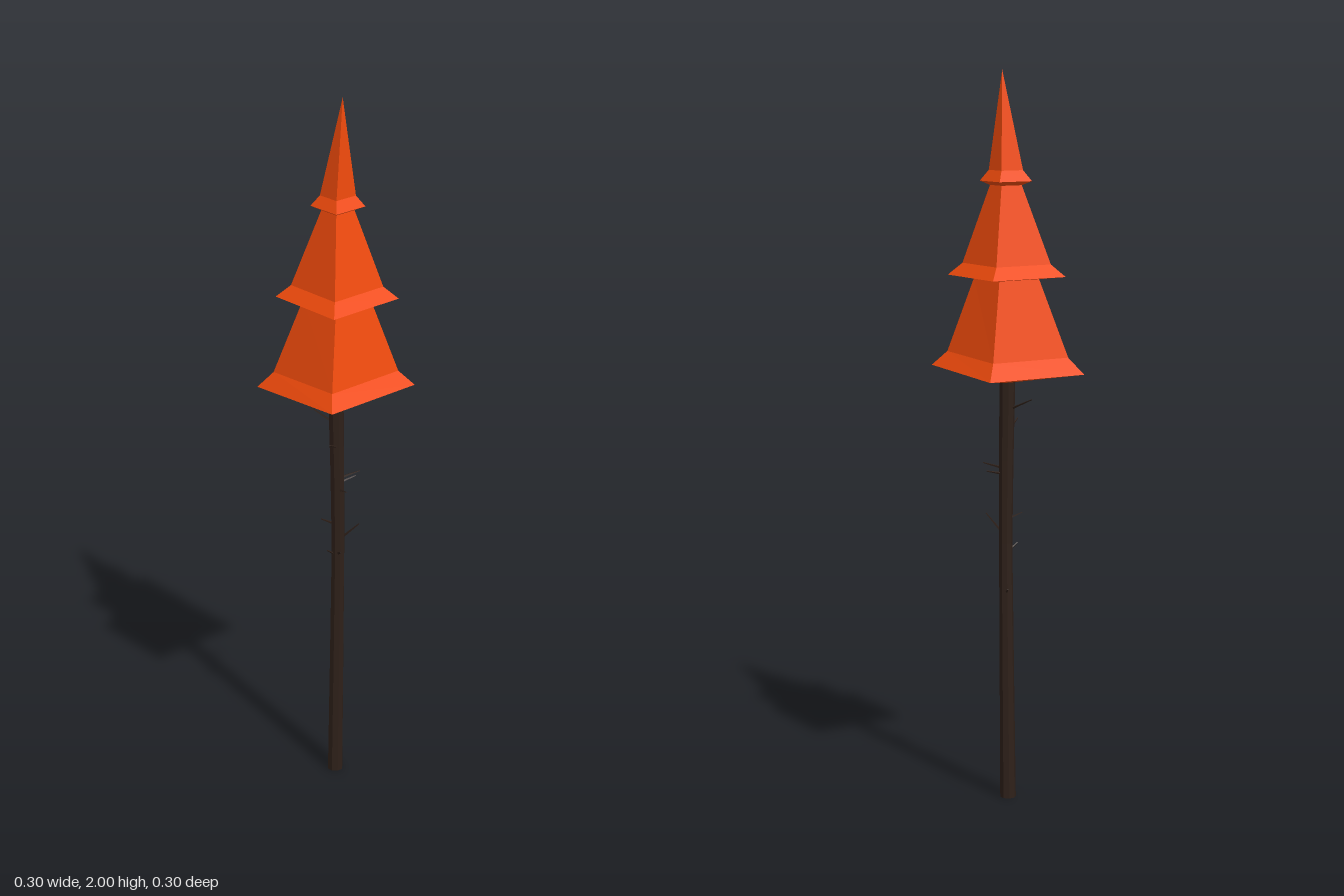
import * as THREE from 'three';

const material = (color) => new THREE.MeshStandardMaterial({ color, flatShading: true, side: THREE.DoubleSide });

// Joins rings of equal size, listed from bottom to top, into a faceted skin
function loft(rings) {
  const position = [];
  for (let i = 0; i + 1 < rings.length; i++) {
    const lower = rings[i], upper = rings[i + 1], n = lower.length;
    for (let j = 0; j < n; j++) {
      const k = (j + 1) % n;
      for (const p of [lower[j], upper[k], lower[k], lower[j], upper[j], upper[k]]) position.push(...p);
    }
  }
  const geometry = new THREE.BufferGeometry();
  geometry.setAttribute('position', new THREE.Float32BufferAttribute(position, 3));
  geometry.computeVertexNormals();
  return geometry;
}

// Square ring with corners on the diagonals; tilt raises the +x side
function squareRing([y, x, hx, hz, tilt = 0]) {
  return [[1, 1], [-1, 1], [-1, -1], [1, -1]].map(([sx, sz]) => [x + sx * hx, y + sx * hx * tilt, sz * hz]);
}

function roundRing([y, x, r], sides = 8) {
  return Array.from({ length: sides }, (_, i) => {
    const a = -((i + 0.5) / sides) * Math.PI * 2;
    return [x + r * Math.cos(a), y, -r * Math.sin(a)];
  });
}

// Thin tapered twig between two points
function twig(from, to) {
  const a = new THREE.Vector3(...from), b = new THREE.Vector3(...to);
  const dir = b.clone().sub(a);
  const mesh = new THREE.Mesh(new THREE.CylinderGeometry(0.0015, 0.0045, dir.length(), 4));
  mesh.position.copy(a).add(b).multiplyScalar(0.5);
  mesh.quaternion.setFromUnitVectors(new THREE.Vector3(0, 1, 0), dir.normalize());
  return mesh;
}

export function createModel() {
  const model = new THREE.Group();
  const leaf = material(0xf04a0c), bark = material(0x2e2019);

  // Foliage: three square tiers, each with a flared skirt [y, x, half x, half z, tilt]
  const foliage = new THREE.Mesh(loft([
    [1.162, 0, 0, 0],
    [1.198, 0, 0.15, 0.149, 0.05],
    [1.24, 0, 0.117, 0.119, 0.04],
    [1.445, 0.005, 0.064, 0.063],
    [1.452, 0.005, 0.115, 0.115],
    [1.485, 0.005, 0.086, 0.086],
    [1.695, 0.008, 0.029, 0.032],
    [1.706, 0.008, 0.05, 0.051],
    [1.735, 0.008, 0.032, 0.034],
    [2, 0.026, 0, 0],
  ].map(squareRing)), leaf);
  foliage.name = 'foliage';
  model.add(foliage);

  // Slightly bowed trunk [y, x, radius]
  const trunk = new THREE.Mesh(loft([
    [0, -0.003, 0], [0, -0.003, 0.022], [0.4, 0.004, 0.02], [0.72, 0.009, 0.0185],
    [0.95, 0.006, 0.02], [1.19, 0, 0.022],
  ].map((r) => roundRing(r))), bark);
  trunk.name = 'trunk';
  model.add(trunk);

  // Bare twigs: height at the trunk, then the tip
  const twigs = new THREE.Group();
  twigs.name = 'twigs';
  [
    [1.085, [-0.075, 1.123, 0.03]],
    [1.02, [0.045, 1.056, 0.062]],
    [0.925, [0.038, 0.943, -0.055]],
    [0.91, [0.02, 0.922, -0.055]],
    [0.893, [0.06, 0.907, 0.015]],
    [0.735, [0.06, 0.797, -0.032]],
    [0.785, [-0.02, 0.805, 0.036]],
    [0.695, [0.06, 0.732, 0.036]],
    [0.69, [0.005, 0.717, 0.036]],
    [0.58, [-0.045, 0.601, -0.027]],
  ].forEach(([y, tip]) => {
    const mesh = twig([0.006, y, 0], tip);
    mesh.material = bark;
    mesh.name = 'twig';
    twigs.add(mesh);
  });
  model.add(twigs);
  return model;
}
